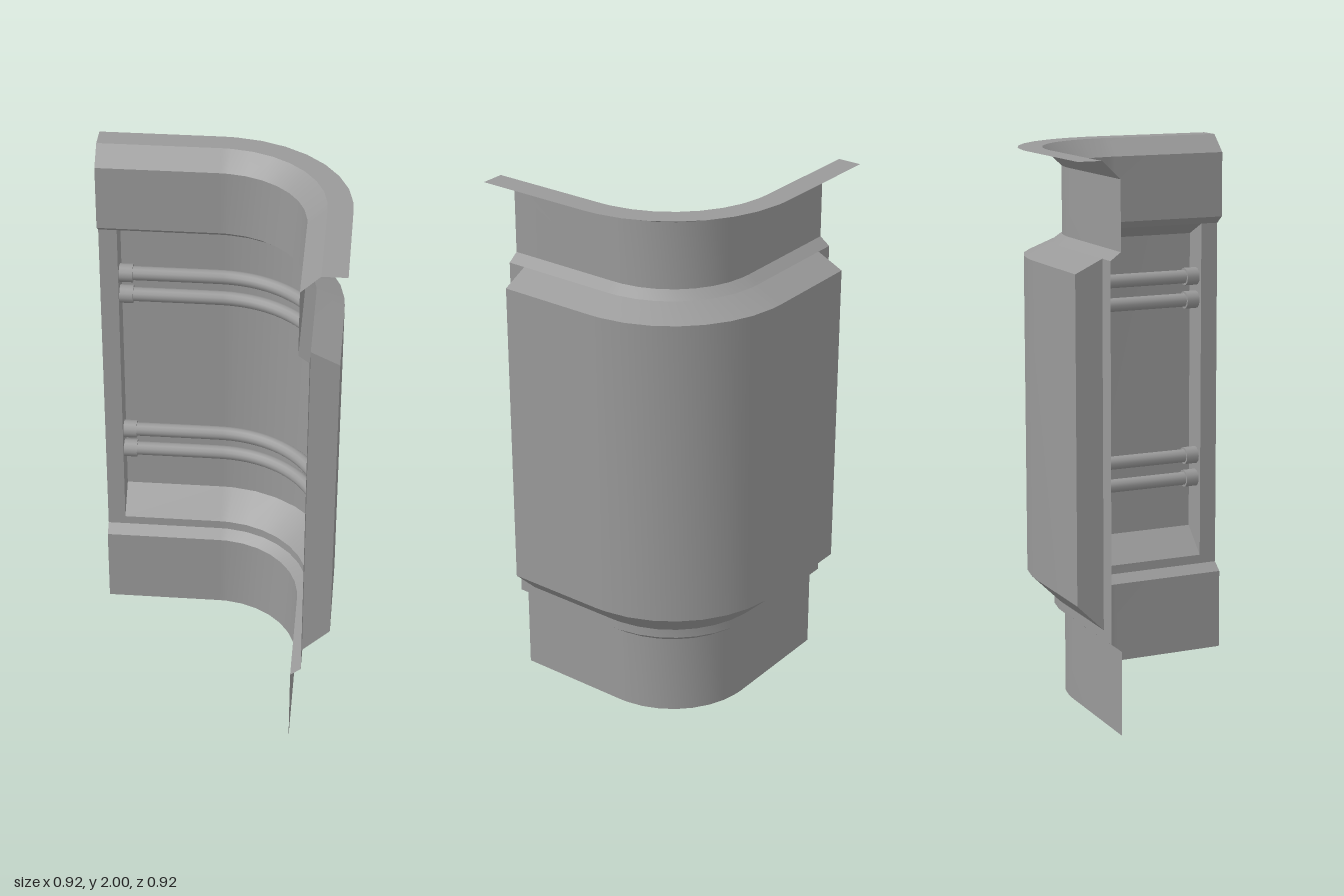
import * as THREE from 'three';

const material = new THREE.MeshStandardMaterial({ color: 0x999999, side: THREE.DoubleSide });
const ANGLES = [0, 5.6, 16.9, 28.1, 39.4, 50.6, 61.9, 73.1, 84.4, 90];
const WALL_END = 0.46, PANEL_END = 0.393;
const WALL = 0.306, FACE = 0.344, BULGE = 0.443, PIPE = 0.39;

// Plan-view path of an L-shaped wall with a rounded corner, lying at the given offset
function planPath(offset, end) {
  const r = offset + 0.02;
  const arc = ANGLES.map((deg) => {
    const a = THREE.MathUtils.degToRad(deg);
    return [-0.02 + r * Math.cos(a), 0.02 - r * Math.sin(a)];
  });
  return [[offset, end], ...arc, [-end, -offset]];
}

// Mesh sheet from two matching rows of points, smooth along the rows
function strip(name, lower, upper) {
  const pos = [], index = [];
  lower.forEach((p, i) => {
    pos.push(...p, ...upper[i]);
    if (i) {
      const k = 2 * i;
      index.push(k - 2, k, k - 1, k, k + 1, k - 1);
    }
  });
  const g = new THREE.BufferGeometry();
  g.setAttribute('position', new THREE.Float32BufferAttribute(pos, 3));
  g.setIndex(index);
  g.computeVertexNormals();
  const mesh = new THREE.Mesh(g, material);
  mesh.name = name;
  return mesh;
}

// Sweep an [offset, height] profile round the corner, with sharp profile edges
function sweep(name, profile, end) {
  const group = new THREE.Group();
  group.name = name;
  const row = ([offset, y]) => planPath(offset, end).map(([x, z]) => [x, y, z]);
  for (let i = 1; i < profile.length; i++) {
    group.add(strip(name + 'Face' + i, row(profile[i - 1]), row(profile[i])));
  }
  return group;
}

export function createModel() {
  const model = new THREE.Group();
  model.name = 'cornerWall';
  const bulge = [[FACE, 0.37], [BULGE, 0.467], [BULGE, 1.62], [FACE, 1.667]];

  model.add(
    sweep('lowerWall', [[WALL, 0], [WALL, 0.306], [FACE, 0.336], [FACE, 0.37]], WALL_END),
    sweep('bulgingPanel', bulge, PANEL_END),
    sweep('upperWall', [[FACE, 1.667], [WALL, 1.695], [WALL, 1.937], [0.373, 2], [0.46, 2]], WALL_END),
  );

  // Panel end caps and flat border strips; the side leg runs the other way, so its rows are reversed
  const legs = [
    { name: 'front', place: (p, y, e) => [p, y, e], order: (row) => row },
    { name: 'side', place: (p, y, e) => [-e, y, -p], order: (row) => row.reverse() },
  ];
  for (const { name, place, order } of legs) {
    const corner = (i) => place(...bulge[i], PANEL_END);
    const borderRow = (y) => order([place(FACE, y, WALL_END), place(FACE, y, PANEL_END)]);
    model.add(
      strip(name + 'EndCap', order([corner(0), corner(1)]), order([corner(3), corner(2)])),
      strip(name + 'Border', borderRow(0.37), borderRow(1.667)),
    );
  }

  // Pipes running inside the panel, with a collar at each end
  [0.672, 0.762, 1.372, 1.462].forEach((y, i) => {
    const pipe = new THREE.Group();
    pipe.name = 'pipe' + (i + 1);
    const curve = new THREE.CatmullRomCurve3(
      planPath(PIPE, PANEL_END).map(([x, z]) => new THREE.Vector3(x, y, z)),
    );
    const tube = new THREE.Mesh(new THREE.TubeGeometry(curve, 40, 0.026, 12), material);
    tube.name = 'pipeTube';
    pipe.add(tube);
    for (const { name, place } of legs) {
      const collar = new THREE.Mesh(new THREE.CylinderGeometry(0.034, 0.034, 0.05, 12), material);
      collar.name = name + 'Collar';
      collar.position.set(...place(PIPE, y, PANEL_END - 0.025));
      if (name === 'front') collar.rotation.x = Math.PI / 2;
      else collar.rotation.z = Math.PI / 2;
      pipe.add(collar);
    }
    model.add(pipe);
  });

  return model;
}
